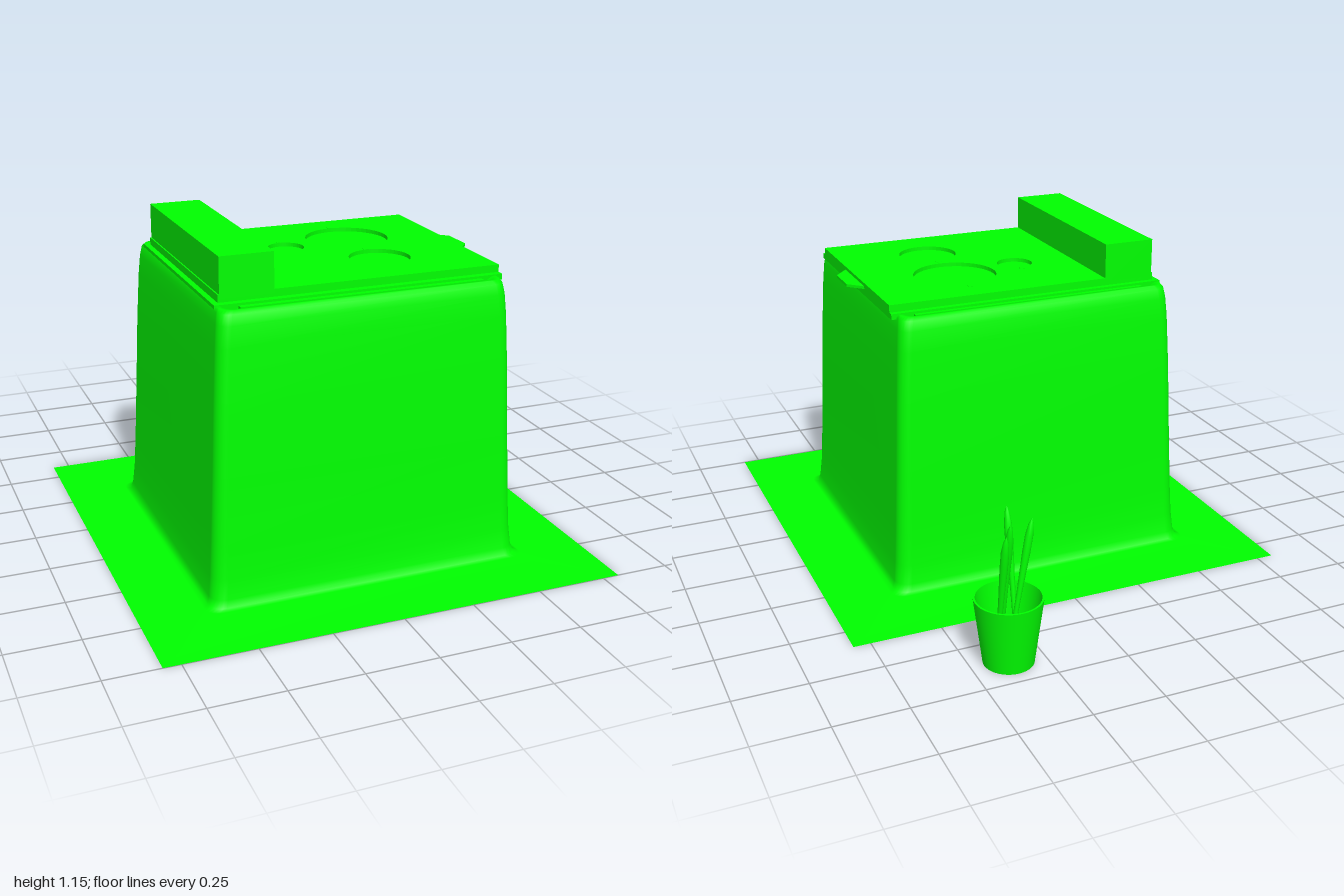
import * as THREE from 'three';

const material = new THREE.MeshStandardMaterial({ color: 0x00ff00, side: THREE.DoubleSide });
const CZ = 0.2; // centre of the covered stand in z

function add(parent, name, geometry) {
  const mesh = new THREE.Mesh(geometry, material);
  mesh.name = name;
  parent.add(mesh);
  return mesh;
}

// Box given by its extents on each axis
function block(parent, name, x0, x1, y0, y1, z0, z1) {
  const mesh = add(parent, name, new THREE.BoxGeometry(x1 - x0, y1 - y0, z1 - z0));
  mesh.position.set((x0 + x1) / 2, (y0 + y1) / 2, (z0 + z1) / 2);
  return mesh;
}

// Flat plate cut from a shape drawn as (x, -z), lying at height y
function plate(parent, name, shape, y, thickness) {
  const geometry = new THREE.ExtrudeGeometry(shape, { depth: thickness, bevelEnabled: false, curveSegments: 24 });
  geometry.rotateX(-Math.PI / 2);
  add(parent, name, geometry).position.y = y;
}

// Cloth: rounded rectangles stacked from the floor skirt up to the sagging top
function clothGeometry() {
  const rings = [ // half width, half depth, height, corner radius
    [0.81, 0.8, 0, 0], [0.585, 0.555, 0, 0.05], [0.568, 0.538, 0.004, 0.05], [0.56, 0.53, 0.03, 0.05],
    [0.553, 0.521, 0.1, 0.048], [0.546, 0.514, 0.22, 0.045], [0.535, 0.505, 0.45, 0.042],
    [0.524, 0.496, 0.7, 0.04], [0.514, 0.488, 0.88, 0.04], [0.508, 0.482, 0.95, 0.04],
    [0.502, 0.474, 0.985, 0.04], [0.493, 0.464, 0.997, 0.04], [0.48, 0.452, 0.995, 0.04],
    [0.465, 0.437, 0.985, 0.03], [0.43, 0.41, 0.974, 0.02], [0, 0, 0.972, 0],
  ];
  const steps = 6, count = 4 * (steps + 1), points = [], index = [];
  const signs = [[1, 1], [-1, 1], [-1, -1], [1, -1]];
  rings.forEach(([hx, hz, y, r], i) => {
    signs.forEach(([sx, sz], c) => {
      for (let s = 0; s <= steps; s++) {
        const a = (c + s / steps) * Math.PI / 2;
        points.push(sx * (hx - r) + r * Math.cos(a), y, CZ + sz * (hz - r) + r * Math.sin(a));
      }
    });
    if (i === 0) return;
    for (let j = 0; j < count; j++) {
      const k = (j + 1) % count, lo = (i - 1) * count, hi = i * count;
      index.push(lo + j, hi + j, lo + k, lo + k, hi + j, hi + k);
    }
  });
  const geometry = new THREE.BufferGeometry();
  geometry.setAttribute('position', new THREE.Float32BufferAttribute(points, 3));
  geometry.setIndex(index);
  geometry.computeVertexNormals();
  return geometry;
}

// Lattice crate hidden under the cloth, seen from below
function buildCrate(parent) {
  const crate = new THREE.Group();
  crate.name = 'crate';
  const h = 0.445, t = 0.02, y0 = 0.03, y1 = 0.95;
  for (const s of [-1, 1]) {
    for (const y of [y0, 0.34, 0.64, y1 - 0.05]) {
      block(crate, 'sideRail', s * h - t / 2, s * h + t / 2, y, y + 0.05, CZ - h, CZ + h);
      block(crate, 'endRail', -h, h, y, y + 0.05, CZ + s * h - t / 2, CZ + s * h + t / 2);
    }
  }
  for (let i = 0; i <= 5; i++) {
    const p = -h + (2 * h * i) / 5;
    for (const s of [-1, 1]) {
      block(crate, 'sidePost', s * h - 0.01, s * h + 0.01, y0, y1, CZ + p - 0.012, CZ + p + 0.012);
      block(crate, 'endPost', p - 0.012, p + 0.012, y0, y1, CZ + s * h - 0.01, CZ + s * h + 0.01);
    }
    block(crate, 'floorBar', -h, h, y0, y0 + 0.03, CZ + p - 0.006, CZ + p + 0.006);
    block(crate, 'floorBar', p - 0.006, p + 0.006, y0, y0 + 0.03, CZ - h, CZ + h);
  }
  for (let i = 0; i < 6; i++) {
    const z = CZ - 0.37 + i * 0.148;
    block(crate, 'floorSlat', -h, h, 0.11, 0.125, z - 0.035, z + 0.035);
  }
  const disc = add(crate, 'centreDisc', new THREE.CylinderGeometry(0.18, 0.18, 0.02, 40));
  disc.position.set(0, 0.09, CZ);
  parent.add(crate);
}

// Layered panel with round recesses, raised box and edge tab
function buildPanel(parent) {
  const panel = new THREE.Group();
  panel.name = 'topPanel';
  block(panel, 'baseTray', -0.43, 0.45, 0.955, 0.982, -0.25, 0.645);
  block(panel, 'trayStep', -0.42, 0.44, 0.975, 0.992, -0.235, 0.63);
  block(panel, 'lowerPlate', -0.5, 0.52, 0.98, 1.0, -0.22, 0.61);
  block(panel, 'middlePlate', -0.48, 0.52, 1.0, 1.012, -0.2, 0.585);

  const top = new THREE.Shape();
  top.moveTo(-0.48, -0.585);
  top.lineTo(0.52, -0.585);
  top.lineTo(0.52, 0.2);
  top.lineTo(-0.48, 0.2);
  top.closePath();
  for (const [x, z, r] of [[0.185, 0.06, 0.15], [-0.07, 0.11, 0.065], [0.185, 0.35, 0.107]]) {
    top.holes.push(new THREE.Path().absarc(x, -z, r, 0, Math.PI * 2, true));
    block(panel, 'recessPointer', x - 0.01, x + 0.01, 1.02, 1.027, z - r - 0.016, z - r);
  }
  plate(panel, 'recessedPlate', top, 1.012, 0.014);

  block(panel, 'raisedBox', -0.475, -0.29, 1.0, 1.15, -0.2, 0.585);

  const tab = new THREE.Shape([[0.5, -0.31], [0.52, -0.31], [0.57, -0.25], [0.57, -0.13], [0.52, -0.08], [0.5, -0.08]]
    .map(([x, y]) => new THREE.Vector2(x, y)));
  plate(panel, 'edgeTab', tab, 1.004, 0.01);
  parent.add(panel);
}

// Open tapered pot holding four leaning sticks
function buildPot(parent) {
  const pot = new THREE.Group();
  pot.name = 'pot';
  const wall = [[0, 0], [0.085, 0], [0.115, 0.235], [0.108, 0.235], [0.08, 0.012], [0, 0.012]];
  for (let i = 0; i < wall.length - 1; i++) {
    const pair = [wall[i], wall[i + 1]].map(([x, y]) => new THREE.Vector2(x, y));
    add(pot, 'potWall', new THREE.LatheGeometry(pair, 40)).position.set(0.37, 0, -0.872);
  }
  const profile = [[0, 0], [0.006, 0.005], [0.009, 0.25], [0.013, 0.38], [0.013, 0.44], [0.008, 0.48], [0, 0.5]]
    .map(([x, y]) => new THREE.Vector2(x, y));
  const sticks = [ // base x, z then tip x, z
    [0.43, -0.91, 0.43, -0.995], [0.39, -0.91, 0.305, -0.905],
    [0.386, -0.84, 0.386, -0.925], [0.344, -0.885, 0.344, -0.795],
  ];
  for (const [bx, bz, tx, tz] of sticks) {
    const stick = add(pot, 'stick', new THREE.LatheGeometry(profile, 12));
    stick.position.set(bx, 0.025, bz);
    const lean = new THREE.Vector3(tx - bx, 0.49, tz - bz).normalize();
    stick.quaternion.setFromUnitVectors(new THREE.Vector3(0, 1, 0), lean);
  }
  parent.add(pot);
}

export function createModel() {
  const model = new THREE.Group();
  model.name = 'coveredStand';
  add(model, 'cloth', clothGeometry());
  buildCrate(model);
  buildPanel(model);
  buildPot(model);
  return model;
}
